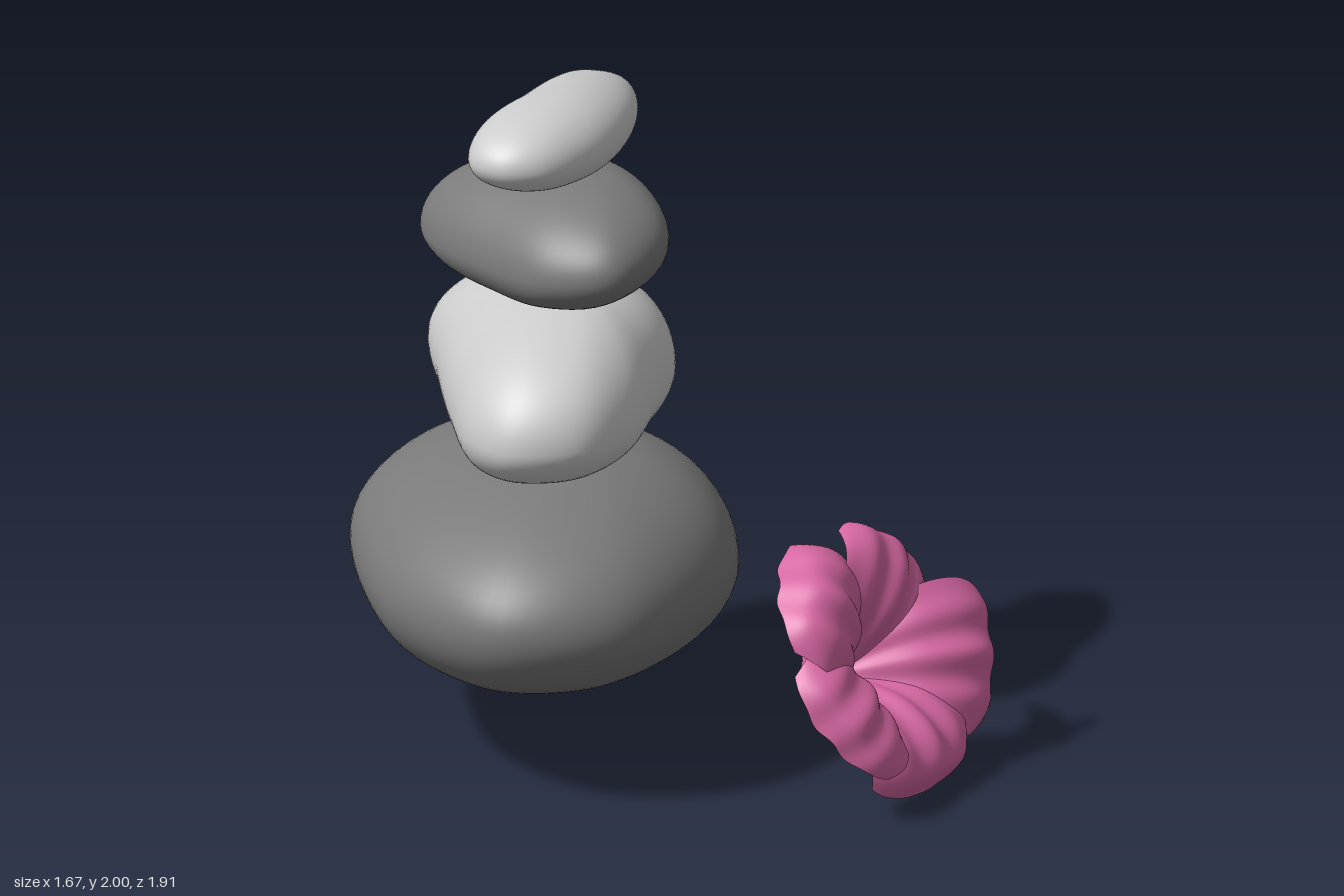
import * as THREE from 'three';

const V = (p) => new THREE.Vector3(...p);
const lightStone = new THREE.MeshStandardMaterial({ color: 0xcccccc });
const darkStone = new THREE.MeshStandardMaterial({ color: 0x7a7a7a });
const pink = new THREE.MeshStandardMaterial({ color: 0xd868a4, side: THREE.DoubleSide });

// Indexed grid surface; wrap joins the last column to the first
function gridGeometry(cols, rows, wrap, point) {
  const pos = [], idx = [];
  const n = wrap ? cols : cols + 1;
  for (let j = 0; j <= rows; j++)
    for (let i = 0; i < n; i++) pos.push(...point(i / cols, j / rows));
  for (let j = 0; j < rows; j++)
    for (let i = 0; i < cols; i++) {
      const k = (i + 1) % n;
      const a = j * n + i, d = j * n + k, b = a + n, c = d + n;
      idx.push(a, d, c, a, c, b);
    }
  const g = new THREE.BufferGeometry();
  g.setAttribute('position', new THREE.Float32BufferAttribute(pos, 3));
  g.setIndex(idx);
  g.computeVertexNormals();
  return g;
}

// Pebble: meridians run from a top point over a closed rim to a fuller underside
function stone(name, material, top, bottom, rim) {
  const curve = new THREE.CatmullRomCurve3(rim.map(V), true);
  const cols = 72, rows = 40;
  const g = gridGeometry(cols, rows, true, (s, t) => {
    const r = curve.getPoint(s), upper = t < 0.5, pole = upper ? top : bottom;
    const phi = t * Math.PI, c = Math.abs(Math.cos(phi));
    const k = Math.max(Math.sin(phi), 0) ** (upper ? 1.02 : 0.86);
    return [
      pole[0] + (r.x - pole[0]) * k,
      r.y + (pole[1] - r.y) * c,
      pole[2] + (r.z - pole[2]) * k,
    ];
  });
  for (let i = 0; i < cols; i++) {
    g.attributes.normal.setXYZ(i, 0, 1, 0);
    g.attributes.normal.setXYZ(rows * cols + i, 0, -1, 0);
  }
  const mesh = new THREE.Mesh(g, material);
  mesh.name = name;
  return mesh;
}

// Petal: flared profile swept across its width, ribbed, twisted and curled back at the tip
function petalGeometry(curl) {
  const profile = new THREE.CatmullRomCurve3([
    [0.01, 0, -0.03], [0.06, 0, 0.06], [0.15, 0, 0.17],
    [0.28, 0, 0.24], [0.38, 0, 0.245], [0.43, 0, 0.2],
  ].map(V));
  return gridGeometry(32, 28, false, (s, u) => {
    const v = s * 2 - 1;
    const p = profile.getPoint(u * (1 - 0.26 * Math.abs(v) ** 2.4));
    const width = 0.02 + 0.205 * Math.sin(Math.PI * 0.64 * u ** 0.9);
    const ribs = 0.012 * Math.cos(v * 10) * (1 - v * v) * Math.sin(Math.PI * Math.min(u, 0.8));
    const bend = u * (0.045 * v - 0.045 * v * v) - curl * u ** 3;
    return [p.x, v * width, p.z + ribs + bend];
  });
}

function flower() {
  const group = new THREE.Group();
  group.name = 'flower';
  // Angle in degrees, size, tip curl
  const petals = {
    bottomPetal: [-91, 0.93, 0.08],
    leftPetal: [-19, 1.02, 0.02],
    upperLeftPetal: [54, 0.97, 0.12],
    upperRightPetal: [128, 1, 0.12],
    rightPetal: [198, 0.98, 0.05],
  };
  for (const [name, [angle, size, curl]] of Object.entries(petals)) {
    const petal = new THREE.Mesh(petalGeometry(curl), pink);
    petal.name = name;
    petal.rotation.z = THREE.MathUtils.degToRad(angle);
    petal.scale.setScalar(size);
    group.add(petal);
  }
  // Rounded cup behind the petals
  const cupProfile = new THREE.SplineCurve([
    [0.001, -0.12], [0.08, -0.1], [0.145, -0.04], [0.168, 0.04], [0.165, 0.09],
  ].map((p) => new THREE.Vector2(...p)));
  const cup = new THREE.Mesh(new THREE.LatheGeometry(cupProfile.getPoints(20), 40), pink);
  cup.name = 'flowerCup';
  cup.rotation.x = Math.PI / 2;
  group.add(cup);
  // Face forward, to the left and upward
  group.rotation.set(-0.436, 0.55, 0, 'YXZ');
  group.position.set(0.36, 0.32, 0.53);
  return group;
}

export function createModel() {
  const model = new THREE.Group();
  model.name = 'stackedStonesWithFlower';
  model.add(
    stone('bottomStone', darkStone, [-0.14, 0.9, -0.15], [-0.33, 0.24, -0.2], [
      [-0.23, 0.54, -0.955], [0.15, 0.54, -0.76], [0.32, 0.54, -0.27], [0.2, 0.55, 0.16],
      [-0.08, 0.55, 0.42], [-0.4, 0.55, 0.53], [-0.71, 0.55, 0.4], [-0.83, 0.54, 0.02],
      [-0.77, 0.54, -0.35], [-0.58, 0.54, -0.74],
    ]),
    stone('lowerMiddleStone', lightStone, [-0.17, 1.38, -0.12], [-0.3, 0.87, -0.2], [
      [-0.2, 1.11, -0.775], [0.05, 1.11, -0.66], [0.185, 1.11, -0.38], [0.12, 1.11, -0.08],
      [-0.03, 1.1, 0.1], [-0.2, 1.08, 0.27], [-0.4, 1.07, 0.345], [-0.59, 1.06, 0.26],
      [-0.645, 1.06, 0.1], [-0.57, 1.07, -0.18], [-0.47, 1.09, -0.45], [-0.37, 1.1, -0.68],
    ]),
    stone('upperMiddleStone', darkStone, [-0.12, 1.745, -0.2], [-0.28, 1.36, -0.28], [
      [-0.33, 1.52, -0.63], [-0.12, 1.55, -0.55], [0.0, 1.57, -0.37], [0.06, 1.58, -0.1],
      [-0.03, 1.57, 0.15], [-0.25, 1.54, 0.255], [-0.41, 1.51, 0.12],
      [-0.48, 1.49, -0.16], [-0.5, 1.48, -0.42], [-0.45, 1.49, -0.58],
    ]),
    stone('topStone', lightStone, [-0.21, 2, -0.15], [-0.26, 1.735, -0.16], [
      [0.0, 1.87, -0.42], [0.095, 1.87, -0.34], [0.03, 1.87, -0.15], [-0.17, 1.86, 0.04],
      [-0.39, 1.85, 0.1], [-0.51, 1.85, 0.05], [-0.555, 1.85, -0.06], [-0.5, 1.85, -0.17],
      [-0.35, 1.86, -0.26], [-0.13, 1.87, -0.39],
    ]),
    flower(),
  );
  return model;
}
